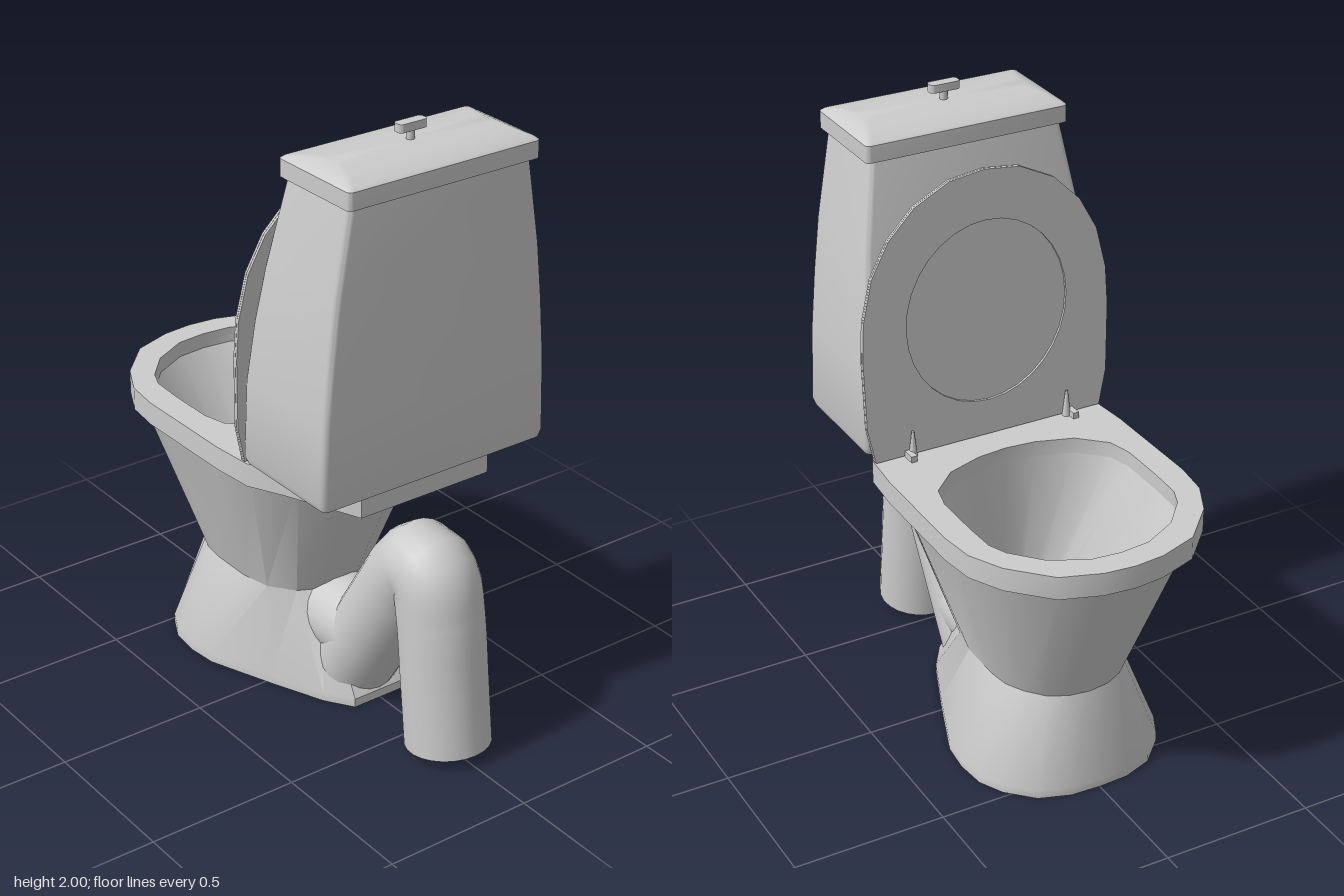
import * as THREE from 'three';
import { toCreasedNormals } from 'three/addons/utils/BufferGeometryUtils.js';

const porcelain = new THREE.MeshStandardMaterial({ color: 0xcccccc, side: THREE.DoubleSide });
porcelain.name = 'porcelain grey';

// Half outline [x, z] from front to back, mirrored into a closed ring
const mirrored = (half) => [...half, ...half.slice(1, -1).reverse().map(([x, z]) => [x, -z])];

// Rounded rectangle ring, running the same way round as mirrored()
function roundRect(x0, x1, hz, r) {
  const ring = [];
  const corners = [[x0 + r, hz - r], [x1 - r, hz - r], [x1 - r, r - hz], [x0 + r, r - hz]];
  corners.forEach(([cx, cz], c) => {
    for (let k = 0; k <= 4; k++) {
      const a = Math.PI - (c + k / 4) * Math.PI / 2;
      ring.push([cx + r * Math.cos(a), cz + r * Math.sin(a)]);
    }
  });
  return ring;
}

// Skin through a list of [y, ring]; optional flat end caps
function loft(sections, capStart, capEnd, crease = 0.6) {
  const n = sections[0][1].length, pos = [], index = [];
  for (const [y, ring] of sections) for (const [x, z] of ring) pos.push(x, y, z);
  for (let s = 0; s < sections.length - 1; s++) {
    for (let i = 0; i < n; i++) {
      const j = (i + 1) % n, a = s * n, b = a + n;
      index.push(a + i, a + j, b + j, a + i, b + j, b + i);
    }
  }
  const cap = (s, up) => {
    const [y, ring] = sections[s], c = pos.length / 3;
    const xs = ring.map((p) => p[0]);
    pos.push((Math.min(...xs) + Math.max(...xs)) / 2, y, 0);
    for (let i = 0; i < n; i++) {
      const p = s * n + i, q = s * n + (i + 1) % n;
      index.push(c, up ? p : q, up ? q : p);
    }
  };
  if (capStart) cap(0, false);
  if (capEnd) cap(sections.length - 1, true);
  const g = new THREE.BufferGeometry();
  g.setAttribute('position', new THREE.Float32BufferAttribute(pos, 3));
  g.setIndex(index);
  return toCreasedNormals(g.toNonIndexed(), crease);
}

export function createModel() {
  const model = new THREE.Group();
  model.name = 'toilet';
  const add = (name, geometry, parent = model) => {
    const m = new THREE.Mesh(geometry, porcelain);
    m.name = name;
    parent.add(m);
    return m;
  };

  // Horizontal outlines of the bowl, from the floor up
  const foot = mirrored([[-.6, 0], [-.595, .1], [-.56, .2], [-.48, .28], [-.4, .32], [-.3, .33],
    [-.2, .32], [.02, .235], [.2, .16], [.29, .1], [.29, 0]]);
  const waist = mirrored([[-.53, 0], [-.52, .07], [-.49, .13], [-.43, .18], [-.37, .21], [-.3, .22],
    [-.15, .22], [-.05, .2], [.03, .14], [.07, .06], [.08, 0]]);
  const shoulder = mirrored([[-.75, 0], [-.74, .1], [-.69, .21], [-.58, .32], [-.47, .37], [-.36, .385],
    [-.05, .38], [.08, .35], [.2, .25], [.28, .1], [.29, 0]]);
  const rimEdge = mirrored([[-.775, 0], [-.765, .1], [-.72, .23], [-.6, .345], [-.49, .4], [-.37, .415],
    [0, .412], [.14, .4], [.25, .345], [.5, .24], [.5, 0]]);
  const opening = mirrored([[-.69, 0], [-.68, .1], [-.62, .215], [-.53, .295], [-.47, .32], [-.36, .325],
    [-.2, .325], [-.12, .305], [-.04, .22], [0, .1], [.01, 0]]);
  const drain = mirrored(Array.from({ length: 11 }, (_, i) =>
    [-.13 - .11 * Math.cos(i * Math.PI / 10), .11 * Math.sin(i * Math.PI / 10)]));

  // Pedestal, rim and inner bowl
  add('pedestal', loft([[0, foot], [.03, foot], [.32, waist], [.835, shoulder]], true, false));
  add('rim', loft([[.835, shoulder], [.835, rimEdge], [.912, rimEdge], [.912, opening], [.86, opening]]));
  add('innerBowl', loft([[.86, opening], [.3, drain], [.16, drain]], false, true));

  // Waste pipe: rises behind the pedestal and bends back to the floor
  const v = (x, y) => new THREE.Vector3(x, y, 0);
  const bend = new THREE.CatmullRomCurve3([v(.155, .085), v(.24, .22), v(.37, .43), v(.44, .54), v(.505, .6),
    v(.557, .57), v(.585, .46), v(.61, .25), v(.635, .027)]);
  add('wastePipe', new THREE.TubeGeometry(bend, 40, .137, 24));
  add('pipeJoint', new THREE.TubeGeometry(new THREE.LineCurve3(v(0, .22), v(.22, .23)), 2, .135, 24));
  const mouth = add('pipeMouth', new THREE.LatheGeometry(
    [[.136, 0], [.12, 0], [.12, .001], [.12, .25], [0, .25]].map((p) => new THREE.Vector2(...p)), 24));
  mouth.geometry = toCreasedNormals(mouth.geometry.toNonIndexed(), .6);
  mouth.position.copy(v(.635, .027));
  mouth.rotation.z = .11;

  // Cistern, tapering towards the top
  add('cistern', loft([
    [.92, roundRect(.165, .535, .395, .02)],
    [.928, roundRect(.15, .547, .41, .02)],
    [.95, roundRect(.142, .55, .418, .02)],
    [1.2, roundRect(.147, .55, .41, .02)],
    [1.4, roundRect(.17, .55, .393, .02)],
    [1.58, roundRect(.2, .55, .373, .02)],
    [1.87, roundRect(.25, .55, .325, .02)],
  ], true, true));
  add('cisternLid', loft([
    [1.86, roundRect(.235, .57, .343, .015)],
    [1.915, roundRect(.235, .57, .343, .015)],
    [1.923, roundRect(.245, .56, .335, .015)],
    [1.937, roundRect(.31, .5, .305, .015)],
    [1.945, roundRect(.37, .435, .28, .015)],
  ], true, true));

  // Flush knob
  add('knobStem', new THREE.CylinderGeometry(.013, .013, .05, 16)).position.set(.4, 1.96, 0);
  add('knobHandle', loft([
    [1.974, roundRect(.382, .418, .05, .012)],
    [2, roundRect(.382, .418, .05, .012)],
  ], true, true));

  // Raised seat ring with its cover behind
  const seat = new THREE.Group();
  seat.name = 'seat';
  seat.position.set(.12, .915, 0);
  seat.rotation.z = -.03;
  model.add(seat);
  const side = [[.4, 0], [.425, .12], [.43, .35], [.423, .48], [.39, .62], [.33, .73], [.24, .82], [.12, .88]];
  const outline = [...side, [0, .895], ...side.map(([z, y]) => [-z, y]).reverse()]
    .map((p) => new THREE.Vector2(...p));
  const panel = (name, x, hole) => {
    const shape = new THREE.Shape(outline);
    if (hole) shape.holes.push(new THREE.Path().absellipse(0, .425, .28, .305, 0, Math.PI * 2, true));
    const m = add(name, new THREE.ExtrudeGeometry(shape, { depth: .008, bevelEnabled: false, curveSegments: 16 }), seat);
    m.rotation.y = -Math.PI / 2;
    m.position.x = x;
  };
  panel('seatRing', 0, true);
  panel('seatCover', .009, false);

  // Seat hinges
  for (const s of [-1, 1]) {
    add('hingeBlock', new THREE.BoxGeometry(.045, .022, .02)).position.set(.09, .922, s * .29);
    add('hingePin', new THREE.CylinderGeometry(.004, .014, .09, 12)).position.set(.105, .955, s * .275);
  }
  return model;
}
